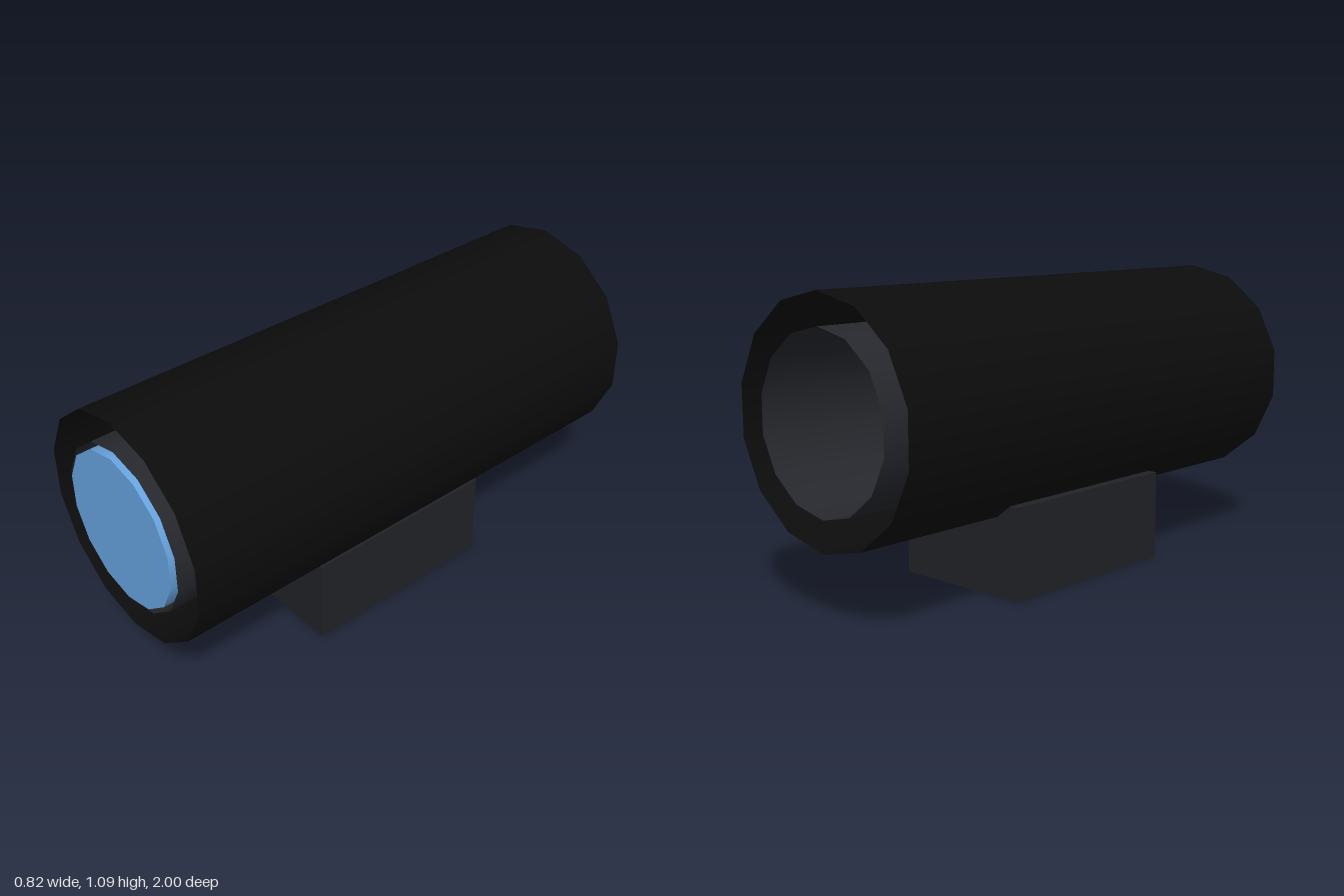
import * as THREE from 'three';

const SIDES = 14;
const AXIS_Y = 0.665;

const paint = (color) => new THREE.MeshStandardMaterial({ color, side: THREE.DoubleSide });

// 14-sided cylinder along z, between zBack and zFront
function barrel(name, radius, zBack, zFront, open, material) {
  const geometry = new THREE.CylinderGeometry(radius, radius, zFront - zBack, SIDES, 1, open);
  geometry.rotateX(Math.PI / 2);
  const mesh = new THREE.Mesh(geometry, material);
  mesh.name = name;
  mesh.position.set(0, AXIS_Y, (zFront + zBack) / 2);
  return mesh;
}

export function createModel() {
  const group = new THREE.Group();
  group.name = 'scope';

  // Two open-ended shells, one inside the other
  group.add(barrel('outerTube', 0.42, -1, 0.988, true, paint(0x0c0c0c)));
  group.add(barrel('innerTube', 0.308, -1, 0.988, true, paint(0x26282d)));

  // Lens plug, standing slightly proud of the front opening
  group.add(barrel('lens', 0.2865, 0.9, 1, false, paint(0x68a4e0)));

  // Mounting block under the tube
  const mount = new THREE.Mesh(new THREE.BoxGeometry(0.552, 0.332, 0.775), paint(0x212226));
  mount.name = 'mount';
  mount.position.set(0, 0.166, -0.003);
  group.add(mount);

  return group;
}
